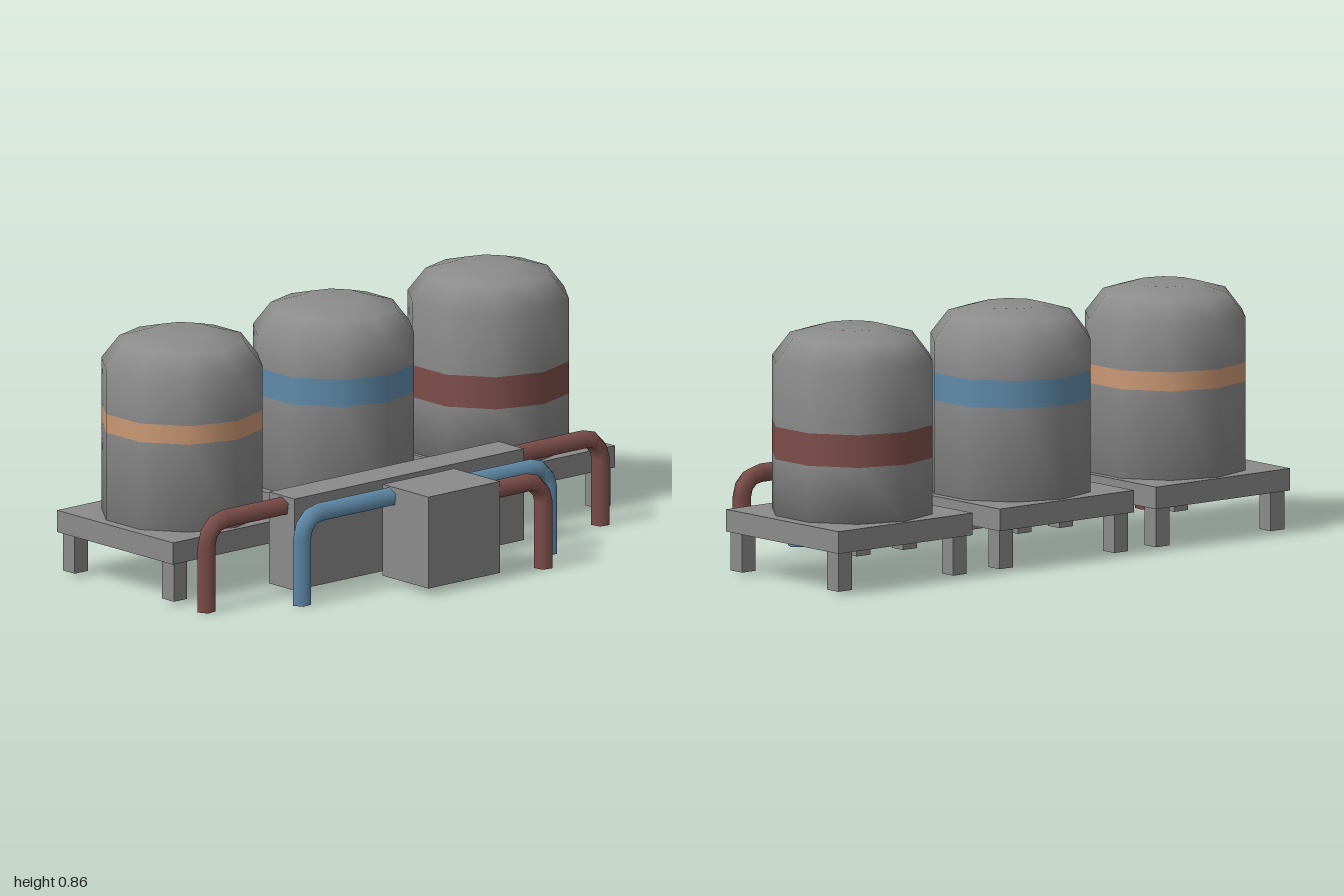
import * as THREE from 'three';

const mat = (color) => new THREE.MeshStandardMaterial({ color });
const grey = mat(0x8b8b8b);
const red = mat(0x7e4f4b);
const blue = mat(0x618cab);
const orange = mat(0xcd9a76);

function add(parent, name, geometry, material) {
  const mesh = new THREE.Mesh(geometry, material);
  mesh.name = name;
  parent.add(mesh);
  return mesh;
}

// Box given by its min and max corners
function box(parent, name, [x0, y0, z0], [x1, y1, z1]) {
  const mesh = add(parent, name, new THREE.BoxGeometry(x1 - x0, y1 - y0, z1 - z0), grey);
  mesh.position.set((x0 + x1) / 2, (y0 + y1) / 2, (z0 + z1) / 2);
}

function lathe(parent, name, profile, material) {
  const points = profile.map(([r, y]) => new THREE.Vector2(r, y));
  add(parent, name, new THREE.LatheGeometry(points, 10), material);
}

// Ten-sided tank with a coloured band, on a four-legged platform
function tankUnit(name, x, tankX, bandLow, bandHigh, bandMaterial) {
  const unit = new THREE.Group();
  unit.name = name;
  unit.position.set(x, 0, -0.23);

  box(unit, 'platform', [-0.297, 0.148, -0.297], [0.297, 0.224, 0.297]);
  for (const sx of [-1, 1]) {
    for (const sz of [-1, 1]) {
      const cx = sx * 0.254, cz = sz * 0.254 + 0.003;
      box(unit, 'platformLeg', [cx - 0.03, 0.014, cz - 0.03], [cx + 0.03, 0.148, cz + 0.03]);
    }
  }

  const tank = new THREE.Group();
  tank.name = 'tank';
  tank.position.x = tankX - x;
  const r = 0.28;
  // The short inward foot softly rounds the shading at the base
  lathe(tank, 'tankBase', [[r - 0.1, 0.224], [r, 0.224], [r, bandLow]], grey);
  lathe(tank, 'tankBand', [[r, bandLow], [r, bandHigh]], bandMaterial);
  lathe(tank, 'tankTop',
    [[r, bandHigh], [r, 0.75], [0.218, 0.83], [0.112, 0.86], [0, 0.86]], grey);
  unit.add(tank);
  return unit;
}

// Five-sided pipe running sideways out of a box, then bending down to the
// ground: a capped cylinder whose rows are moved along the path
function pipe(parent, name, startX, endX, z, material) {
  const bend = 0.075, top = 0.308, steps = 3, rows = steps + 2;
  const dir = Math.sign(endX - startX);
  const geometry = new THREE.CylinderGeometry(0.033, 0.033, rows, 5, rows, false, dir * 1.745);
  const pos = geometry.attributes.position, nor = geometry.attributes.normal;
  const v = new THREE.Vector3(), axis = new THREE.Vector3(0, 0, 1);
  for (let i = 0; i < pos.count; i++) {
    const row = Math.round(pos.getY(i) + rows / 2);
    const a = THREE.MathUtils.clamp((row - 1) / steps, 0, 1) * Math.PI / 2;
    let cx = endX - dir * bend * (1 - Math.cos(a));
    let cy = top - bend + bend * Math.sin(a);
    if (row === 0) cy = 0;
    if (row === rows) cx = startX;
    v.set(pos.getX(i), 0, pos.getZ(i)).applyAxisAngle(axis, dir * a);
    pos.setXYZ(i, v.x + cx, v.y + cy, v.z + z);
    v.fromBufferAttribute(nor, i).applyAxisAngle(axis, dir * a);
    nor.setXYZ(i, v.x, v.y, v.z);
  }
  add(parent, name, geometry, material);
}

export function createModel() {
  const model = new THREE.Group();
  model.name = 'tankStation';

  // Row of three tanks at the back
  model.add(tankUnit('rightTankUnit', -0.703, -0.697, 0.53, 0.595, orange));
  model.add(tankUnit('middleTankUnit', -0.011, -0.011, 0.545, 0.64, blue));
  model.add(tankUnit('leftTankUnit', 0.703, 0.689, 0.418, 0.53, red));

  // Long manifold box and the smaller pump box before it
  box(model, 'manifoldBox', [-0.608, 0.025, 0.114], [0.43, 0.345, 0.245]);
  box(model, 'pumpBox', [-0.25, 0.025, 0.292], [0.073, 0.345, 0.526]);

  // Pipes leaving both boxes sideways
  pipe(model, 'manifoldPipeRight', -0.6, -0.955, 0.185, red);
  pipe(model, 'manifoldPipeLeft', 0.42, 0.832, 0.183, red);
  pipe(model, 'pumpPipeRight', -0.24, -0.652, 0.33, blue);
  pipe(model, 'pumpPipeBackLeft', 0.06, 0.438, 0.36, blue);
  pipe(model, 'pumpPipeFrontLeft', 0.06, 0.298, 0.495, red);

  return model;
}
